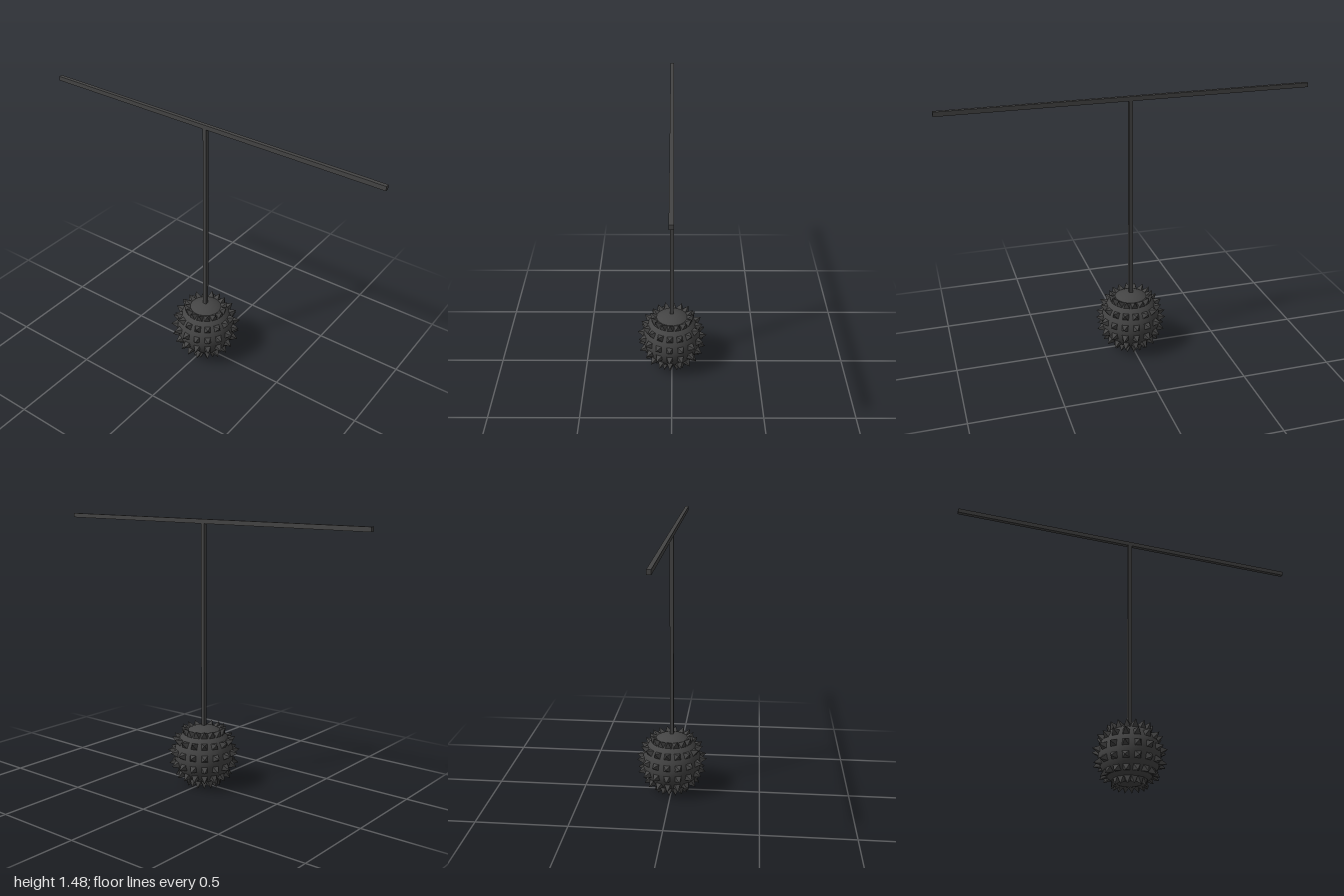
import * as THREE from 'three';

export function createModel() {
  const model = new THREE.Group();
  const smooth = new THREE.MeshStandardMaterial({ color: 0x444444 });
  const faceted = new THREE.MeshStandardMaterial({ color: 0x444444, flatShading: true });

  const add = (name, geometry, material, y, parent = model) => {
    const mesh = new THREE.Mesh(geometry, material);
    mesh.name = name;
    mesh.position.y = y;
    parent.add(mesh);
    return mesh;
  };

  const centreY = 0.177, radius = 0.165, tipRadius = 0.202, sunk = 0.155;

  // Crossbar and square pole
  add('crossbar', new THREE.BoxGeometry(2, 0.024, 0.021), faceted, 1.465);
  add('pole', new THREE.BoxGeometry(0.021, 1.14, 0.021), faceted, 0.89);

  // Ball
  add('ball', new THREE.SphereGeometry(radius, 48, 32), smooth, centreY);

  // Four-sided spike pointing along +z, base sunk slightly into the ball
  const spike = new THREE.ConeGeometry(0.021 * Math.SQRT2, tipRadius - sunk, 4, 1)
    .rotateY(Math.PI / 4)
    .translate(0, (tipRadius + sunk) / 2, 0)
    .rotateX(Math.PI / 2);

  // Six rings of sixteen spikes, aligned in columns
  const spikes = new THREE.Group();
  spikes.name = 'spikes';
  spikes.position.y = centreY;
  model.add(spikes);
  for (let ring = 0; ring < 6; ring++) {
    const latitude = THREE.MathUtils.degToRad(52 - ring * 22.7);
    for (let i = 0; i < 16; i++) {
      const mesh = add('spike', spike, faceted, 0, spikes);
      mesh.rotation.order = 'YXZ';
      mesh.rotation.set(-latitude, (i / 16) * Math.PI * 2 - THREE.MathUtils.degToRad(4.5), 0);
    }
  }
  return model;
}
